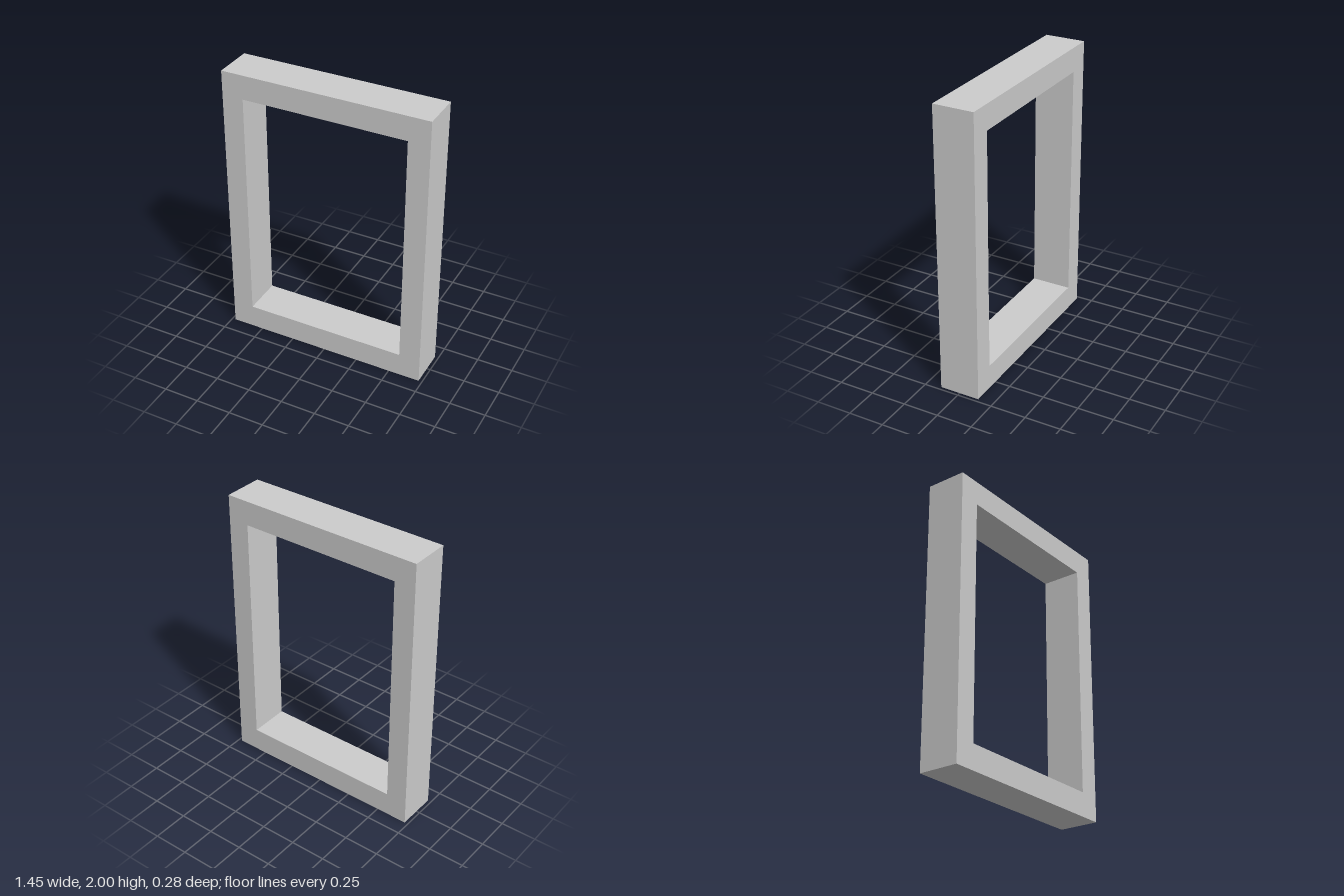
import * as THREE from 'three';

const HALF_WIDTH = 0.725, HEIGHT = 2, DEPTH = 0.282;
const OPENING_HALF_WIDTH = 0.575, OPENING_BOTTOM = 0.17, OPENING_TOP = 1.83;

// Adds a rectangle to a shape or path
function rectangle(path, halfWidth, bottom, top) {
  path.moveTo(-halfWidth, bottom);
  path.lineTo(halfWidth, bottom);
  path.lineTo(halfWidth, top);
  path.lineTo(-halfWidth, top);
  path.closePath();
  return path;
}

export function createModel() {
  const model = new THREE.Group();
  model.name = 'rectangularFrame';

  // Frame outline with a see-through opening, extruded front to back
  const outline = rectangle(new THREE.Shape(), HALF_WIDTH, 0, HEIGHT);
  outline.holes.push(rectangle(new THREE.Path(), OPENING_HALF_WIDTH, OPENING_BOTTOM, OPENING_TOP));
  const geometry = new THREE.ExtrudeGeometry(outline, { depth: DEPTH, bevelEnabled: false });
  geometry.translate(0, 0, -DEPTH / 2);

  const frame = new THREE.Mesh(geometry, new THREE.MeshStandardMaterial({ color: 0xcccccc, flatShading: true }));
  frame.name = 'frame';
  model.add(frame);
  return model;
}
